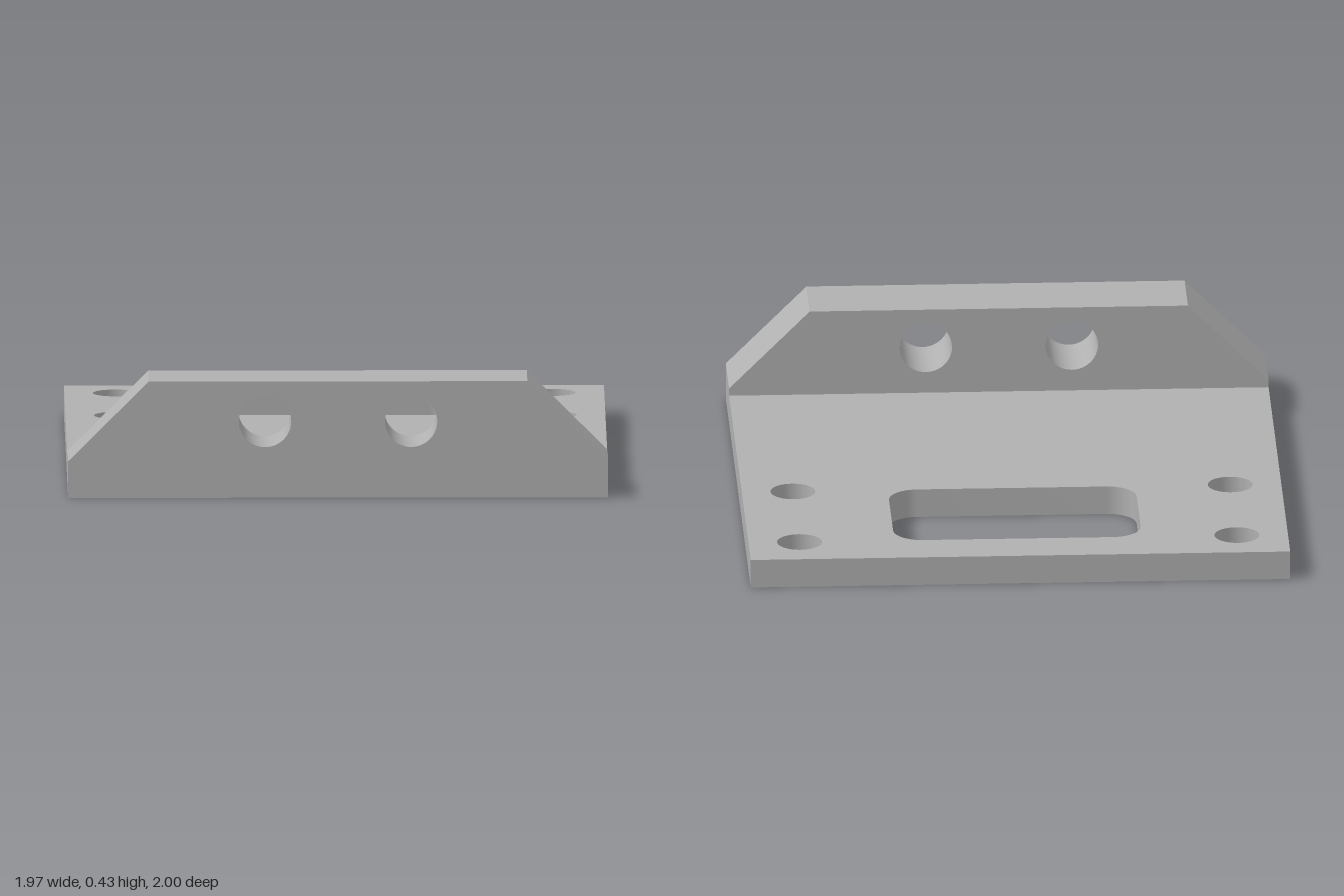
import * as THREE from 'three';
import { toCreasedNormals } from 'three/addons/utils/BufferGeometryUtils.js';

const W = 0.987;       // half width
const PLATE = 0.107;   // plate thickness
const STEP = 0.735;    // z where the upright bar begins

const polygon = (points) => new THREE.Shape(points.map(([x, y]) => new THREE.Vector2(x, y)));

function circle(x, y, r) {
  return new THREE.Path().absarc(x, y, r, 0, Math.PI * 2, true);
}

function roundedRect(x0, y0, x1, y1, r) {
  const p = new THREE.Path();
  p.absarc(x1 - r, y1 - r, r, 0, Math.PI / 2);
  p.absarc(x0 + r, y1 - r, r, Math.PI / 2, Math.PI);
  p.absarc(x0 + r, y0 + r, r, Math.PI, Math.PI * 1.5);
  p.absarc(x1 - r, y0 + r, r, Math.PI * 1.5, Math.PI * 2);
  p.closePath();
  return p;
}

// Extrude with crisp edges and smooth hole walls
function extrude(shape, depth) {
  const geometry = new THREE.ExtrudeGeometry(shape, { depth, bevelEnabled: false, curveSegments: 24 });
  return toCreasedNormals(geometry, Math.PI / 6);
}

export function createModel() {
  const group = new THREE.Group();
  group.name = 'mountingBracket';
  const metal = new THREE.MeshStandardMaterial({ color: 0xb0b0b0 });
  metal.name = 'grey metal';

  // Base plate, drawn in plan (shape y = -z), with window and four bolt holes
  const plan = polygon([[-W, -STEP], [W, -STEP], [W, 1], [-W, 1]]);
  plan.holes.push(roundedRect(-0.453, 0.284, 0.453, 0.818, 0.107));
  for (const x of [-0.8, 0.8]) {
    for (const y of [0.284, 0.818]) plan.holes.push(circle(x, y, 0.082));
  }
  const plate = new THREE.Mesh(extrude(plan, PLATE).rotateX(-Math.PI / 2), metal);
  plate.name = 'basePlate';
  group.add(plate);

  // Upright front bar with chamfered shoulders and two through holes
  const profile = polygon([[-W, 0], [W, 0], [W, 0.135], [0.692, 0.43], [-0.692, 0.43], [-W, 0.135]]);
  for (const x of [-0.267, 0.267]) profile.holes.push(circle(x, 0.283, 0.096));
  const bar = new THREE.Mesh(extrude(profile, 1 - STEP).translate(0, 0, STEP), metal);
  bar.name = 'frontBar';
  group.add(bar);

  return group;
}
